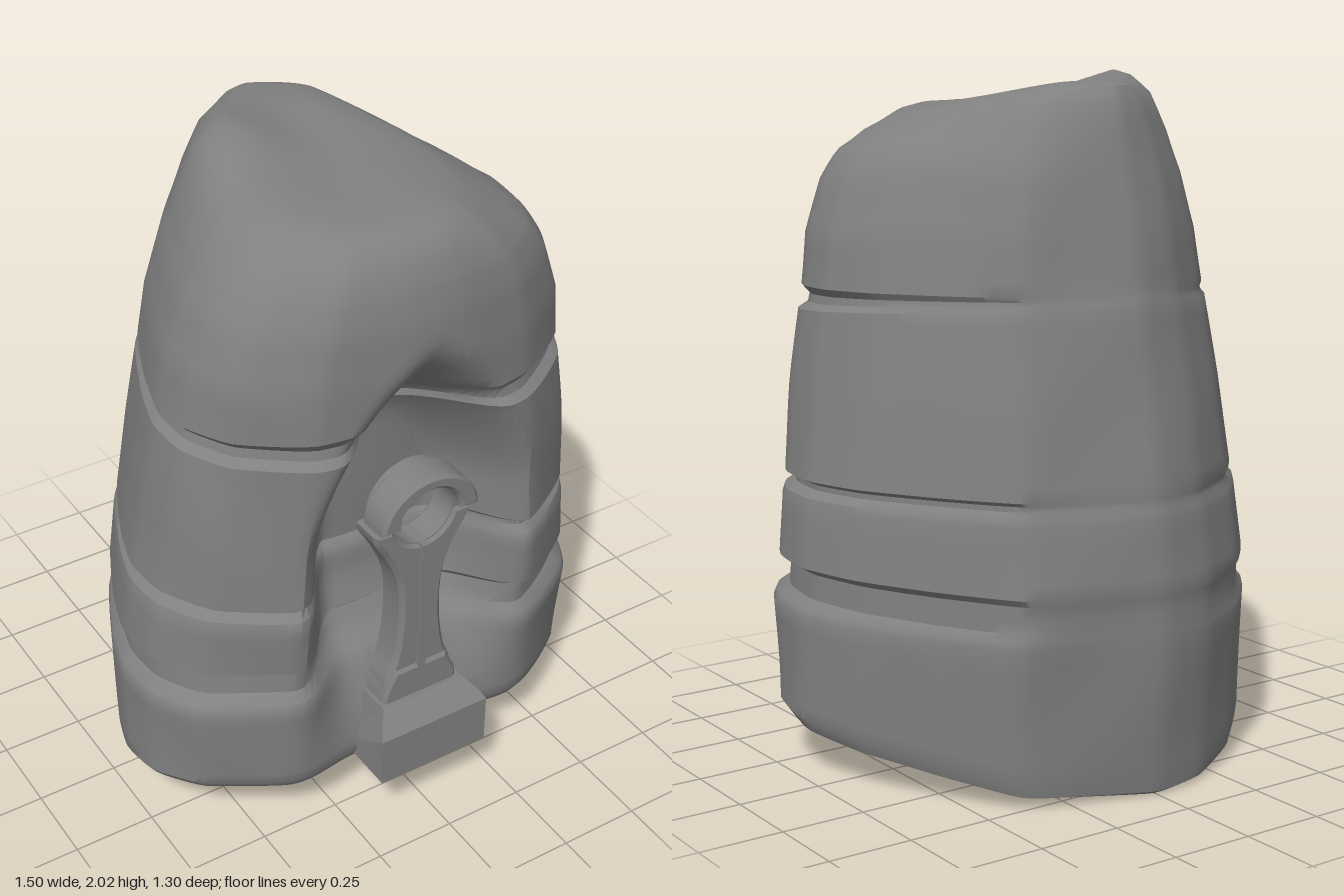
import * as THREE from 'three';
import { toCreasedNormals } from 'three/addons/utils/BufferGeometryUtils.js';

const grey = new THREE.MeshStandardMaterial({ color: 0x808080 });
const { lerp, smoothstep } = THREE.MathUtils;

function add(parent, name, geometry, z = 0) {
  const mesh = new THREE.Mesh(geometry, grey);
  mesh.name = name;
  mesh.position.z = z;
  parent.add(mesh);
  return mesh;
}

// Plan outline of the rock, seen from above, starting at the back: x, z
const OUTLINE = [
  [0, -0.655], [0.2, -0.6], [0.4, -0.53], [0.56, -0.32], [0.69, -0.1], [0.75, 0.1],
  [0.73, 0.27], [0.65, 0.4], [0.42, 0.54], [0.13, 0.58], [-0.13, 0.58], [-0.42, 0.54],
  [-0.65, 0.4], [-0.74, 0.25], [-0.75, 0.1], [-0.7, -0.06], [-0.58, -0.31], [-0.38, -0.52], [-0.18, -0.63],
];

// Rows from the bottom centre to the top centre:
// height at front, half width, front z, back z, height at back
const ROWS = [
  [0.09, 0.001, -0.069, -0.07, 0.09],
  [0.155, 0.62, 0.48, -0.6, 0.0],
  [0.17, 0.72, 0.54, -0.615, 0.01],
  [0.21, 0.745, 0.565, -0.62, 0.05],
  [0.49, 0.75, 0.588, -0.645, 0.46],
  [0.515, 0.74, 0.58, -0.645, 0.48],
  [0.54, 0.705, 0.555, -0.645, 0.5],
  [0.61, 0.7, 0.55, -0.645, 0.58],
  [0.63, 0.73, 0.58, -0.65, 0.6],
  [0.79, 0.712, 0.592, -0.625, 0.8],
  [0.815, 0.705, 0.585, -0.62, 0.82],
  [0.835, 0.675, 0.565, -0.612, 0.84],
  [0.85, 0.675, 0.565, -0.61, 0.855],
  [0.865, 0.7, 0.59, -0.61, 0.865],
  [1.1, 0.665, 0.594, -0.57, 1.13],
  [1.32, 0.625, 0.598, -0.53, 1.38],
  [1.34, 0.6, 0.575, -0.525, 1.395],
  [1.37, 0.595, 0.57, -0.522, 1.405],
  [1.4, 0.615, 0.59, -0.518, 1.415],
  [1.55, 0.59, 0.592, -0.495, 1.57],
  [1.7, 0.53, 0.582, -0.465, 1.74],
  [1.8, 0.465, 0.56, -0.44, 1.85],
  [1.88, 0.39, 0.52, -0.415, 1.94],
  [1.92, 0.31, 0.46, -0.39, 1.98],
  [1.93, 0.26, 0.4, -0.34, 1.995],
  [1.945, 0.001, 0.031, 0.03, 1.945],
];

// Depth of the arched hollow in the front
function hollow(x, y, front) {
  const r = (Math.abs(x) / 0.39) ** 1.5 + (Math.max(0, y - 1.0) / 0.62) ** 1.5;
  const depth = lerp(0.045, 0.28, smoothstep(y, 0.2, 0.8));
  return depth * (1 - smoothstep(r ** 0.667, 0.4, 1.02)) * smoothstep(front, 0.1, 0.3);
}

// Uneven crown: a second peak on the right of the top, a lower left shoulder
function crown(x, y, z) {
  const peak = 0.05 * Math.exp(-((x + 0.24) ** 2 + (z + 0.12) ** 2) / 0.03);
  return (peak - 0.05 * smoothstep(x, 0.08, 0.4)) * smoothstep(y, 1.75, 1.93);
}

function rockGeometry() {
  const N = 144;
  const curve = new THREE.CatmullRomCurve3(
    OUTLINE.map(([x, z]) => new THREE.Vector3(x, 0, z)), true, 'catmullrom', 0.25);
  const ring = curve.getSpacedPoints(N);

  // Extra rows in between, so the hollow and the crown bend smoothly
  const rows = [];
  for (let k = 0; k < ROWS.length - 1; k++) {
    const a = ROWS[k], b = ROWS[k + 1];
    const steps = Math.max(1, Math.ceil(Math.max(Math.abs(b[0] - a[0]) / 0.04, Math.abs(b[1] - a[1]) / 0.1)));
    for (let s = 0; s < steps; s++) rows.push(a.map((v, i) => lerp(v, b[i], s / steps)));
  }
  rows.push(ROWS[ROWS.length - 1]);

  const position = [], index = [];
  rows.forEach(([yFront, half, zFront, zBack, yBack]) => {
    for (let i = 0; i < N; i++) {
      const p = ring[i];
      const t = (p.z + 0.655) / 1.235;
      const x = (p.x / 0.75) * half;
      const y = lerp(yBack, yFront, t);
      const z = lerp(zBack, zFront, t);
      const bump = 0.006 * Math.sin(9 * p.x + 5 * y) * Math.sin(7 * p.z + 6 * y + 1) * Math.min(1, half * 2);
      // The underside rises at the flanks
      const flank = 0.12 * t * (1 - t) * Math.min(1, half / 0.6) * (1 - smoothstep(y, 0.12, 0.4));
      position.push(x * (1 + bump), y + flank + crown(x, y, z), z + bump - hollow(x, y, p.z));
    }
  });
  for (let j = 0; j < rows.length - 1; j++) {
    for (let i = 0; i < N; i++) {
      const a = j * N + i, b = j * N + (i + 1) % N;
      index.push(a, a + N, b, b, a + N, b + N);
    }
  }
  const geometry = new THREE.BufferGeometry();
  geometry.setAttribute('position', new THREE.Float32BufferAttribute(position, 3));
  geometry.setIndex(index);
  return toCreasedNormals(geometry, 0.6);
}

// Bevelled plate standing in the xy plane, from z = 0 to z = depth
function plate(shape, depth, bevel) {
  const geometry = new THREE.ExtrudeGeometry(shape, {
    depth: depth - 2 * bevel, bevelEnabled: bevel > 0, bevelThickness: bevel,
    bevelSize: bevel, bevelOffset: -bevel, bevelSegments: 1, curveSegments: 32,
  });
  geometry.translate(0, 0, bevel);
  return toCreasedNormals(geometry, 0.5);
}

function stemShape() {
  const side = [
    new THREE.Vector2(0.12, 0.4), new THREE.Vector2(0.115, 0.47), new THREE.Vector2(0.09, 0.54),
    new THREE.Vector2(0.075, 0.63), new THREE.Vector2(0.07, 0.74), new THREE.Vector2(0.082, 0.84),
    new THREE.Vector2(0.12, 0.93), new THREE.Vector2(0.157, 0.99), new THREE.Vector2(0.168, 1.03),
  ];
  const right = new THREE.SplineCurve(side).getPoints(24);
  const shape = new THREE.Shape();
  shape.moveTo(-0.12, 0.4);
  right.forEach((p) => shape.lineTo(p.x, p.y));
  // Round seat for the ring
  const a = Math.asin(0.02 / 0.1);
  shape.absarc(0, 1.05, 0.1, -a, Math.PI + a, true);
  right.slice().reverse().forEach((p) => shape.lineTo(-p.x, p.y));
  return shape;
}

function ringShape(outer, inner, full) {
  const shape = new THREE.Shape();
  if (full) {
    shape.absarc(0, 1.05, outer, 0, Math.PI * 2, false);
    const hole = new THREE.Path();
    hole.absarc(0, 1.05, inner, 0, Math.PI * 2, true);
    shape.holes.push(hole);
  } else {
    shape.absellipse(0, 1.045, outer * 1.1, outer, 0, Math.PI, false);
    shape.absarc(0, 1.05, inner, Math.PI, 0, true);
  }
  return shape;
}

// Foot block with a sloping front shoulder, from its side outline (z, y)
function footGeometry() {
  const shape = new THREE.Shape([
    [0.4, 0.185], [0.655, 0.185], [0.655, 0.345], [0.63, 0.37], [0.59, 0.405], [0.4, 0.405],
  ].map(([z, y]) => new THREE.Vector2(z, y)));
  const geometry = new THREE.ExtrudeGeometry(shape, { depth: 0.37, bevelEnabled: false });
  geometry.rotateY(-Math.PI / 2).translate(0.185, 0, 0);
  // Draw in the top edge
  const p = geometry.attributes.position;
  for (let i = 0; i < p.count; i++) {
    if (p.getY(i) > 0.39) p.setX(i, p.getX(i) * 0.76);
    else if (p.getY(i) > 0.36) p.setX(i, p.getX(i) * 0.93);
  }
  return toCreasedNormals(geometry, 0.3);
}

export function createModel() {
  const model = new THREE.Group();
  model.name = 'bandedRock';
  add(model, 'rock', rockGeometry());

  // Stand in the hollow: foot, collar, stem and ring
  const stand = new THREE.Group();
  stand.name = 'stand';
  model.add(stand);
  add(stand, 'foot', footGeometry());
  const collar = new THREE.Shape([[-0.13, 0.39], [0.13, 0.39], [0.125, 0.44], [0.09, 0.51], [-0.09, 0.51], [-0.125, 0.44]]
    .map(([x, y]) => new THREE.Vector2(x, y)));
  add(stand, 'collar', plate(collar, 0.16, 0.01), 0.415);
  add(stand, 'stem', plate(stemShape(), 0.11, 0.014), 0.455);
  const rib = new THREE.BoxGeometry(0.024, 0.53, 0.06);
  add(stand, 'stemRib', rib.translate(0, 0.685, 0), 0.548);
  add(stand, 'ringBack', plate(ringShape(0.14, 0.1, true), 0.08, 0), 0.475);
  add(stand, 'ringTop', plate(ringShape(0.147, 0.1, false), 0.11, 0.01), 0.49);
  return model;
}
